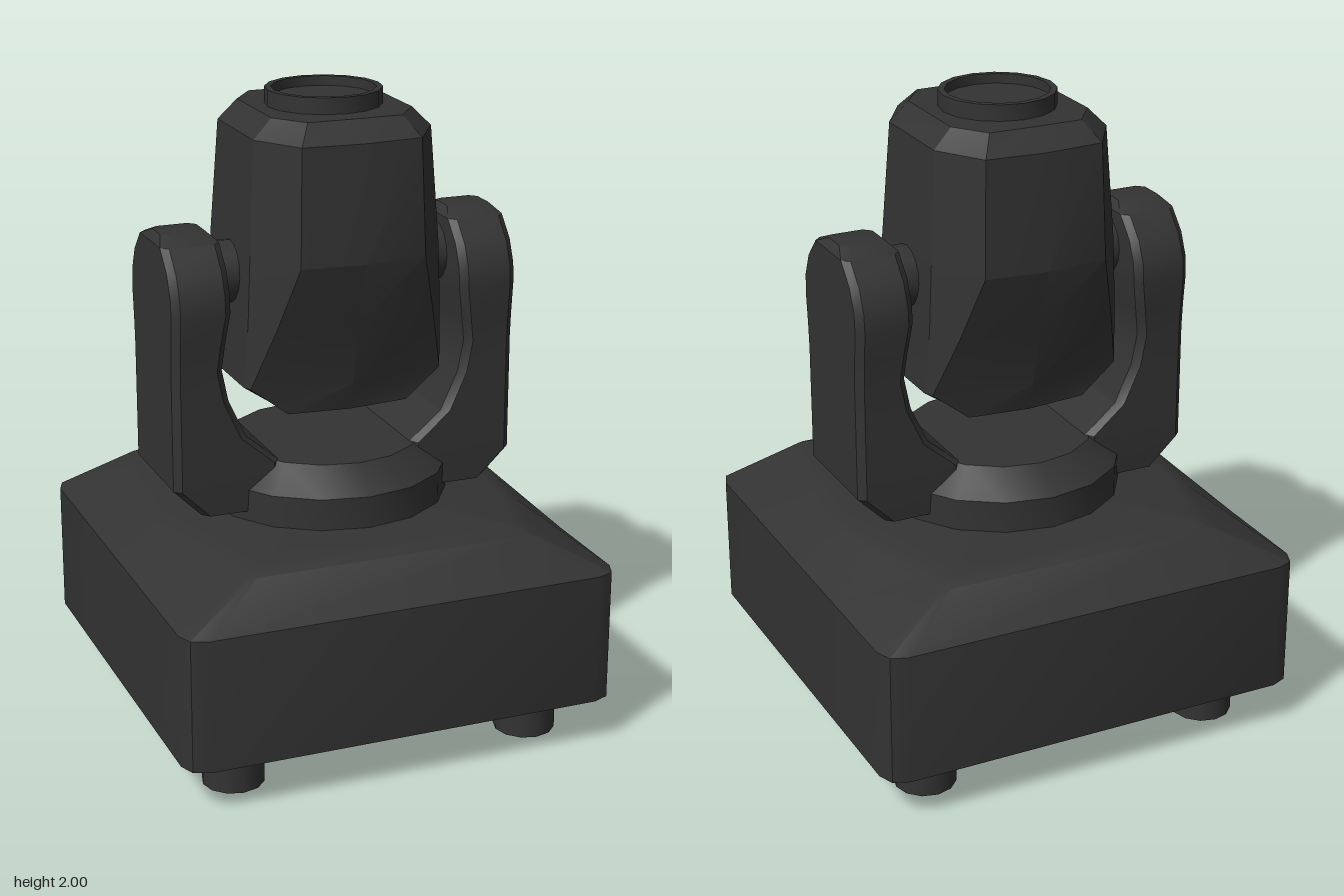
import * as THREE from 'three';
import { toCreasedNormals } from 'three/addons/utils/BufferGeometryUtils.js';

const material = new THREE.MeshStandardMaterial({ color: 0x333333 });

// Closed horizontal cross-section mirrored from one quadrant of [x, z] points (from +x towards +z)
function ring(y, q, cx = 0) {
  const r = [...q].reverse();
  return [
    ...q,
    ...r.filter(p => p[0] !== 0).map(([x, z]) => [-x, z]),
    ...q.filter(p => p[1] !== 0).map(([x, z]) => [-x, -z]),
    ...r.filter(p => p[0] !== 0 && p[1] !== 0).map(([x, z]) => [x, -z]),
  ].map(([x, z]) => [x + cx, y, z]);
}

// Skin a stack of rings (bottom to top) and cap both ends
function loft(rings, crease = 0.4) {
  const n = rings[0].length, last = rings.length - 1, v = [];
  const centre = r => [0, 1, 2].map(k => r.reduce((s, p) => s + p[k], 0) / n);
  const bottom = centre(rings[0]), top = centre(rings[last]);
  for (let j = 0; j < n; j++) {
    const k = (j + 1) % n;
    for (let i = 0; i < last; i++) {
      const a = rings[i][j], b = rings[i][k], c = rings[i + 1][k], d = rings[i + 1][j];
      v.push(a, d, b, b, d, c);
    }
    v.push(bottom, rings[0][j], rings[0][k], top, rings[last][k], rings[last][j]);
  }
  const g = new THREE.BufferGeometry();
  g.setAttribute('position', new THREE.Float32BufferAttribute(v.flat(), 3));
  return toCreasedNormals(g, crease);
}

function lathe(points, segments) {
  const g = new THREE.LatheGeometry(points.map(p => new THREE.Vector2(...p)), segments);
  return toCreasedNormals(g, 0.5);
}

export function createModel() {
  const model = new THREE.Group();
  model.name = 'movingHeadLight';
  const add = (name, geometry, x = 0, y = 0, z = 0) => {
    const m = new THREE.Mesh(geometry, material);
    m.name = name;
    m.position.set(x, y, z);
    model.add(m);
    return m;
  };

  // Base: box with clipped corners and a sloped lid whose sides bow outwards
  const wall = [[0.7, 0], [0.7, 0.3], [0.7, 0.63], [0.68, 0.68], [0.63, 0.7]];
  const lid = (side, x, z) => [[side, 0], [side - (side - x) * 0.3, z * 0.5],
    [x + 0.012, z - 0.02], [x + 0.008, z - 0.006], [x - 0.01, z]];
  add('base', loft([
    ring(0.15, wall), ring(0.57, wall),
    ring(0.69, lid(0.58, 0.45, 0.58)), ring(0.71, lid(0.53, 0.4, 0.53)),
  ]));

  // Feet
  for (const x of [-0.49, 0.49]) for (const z of [-0.49, 0.49])
    add('foot', new THREE.CylinderGeometry(0.097, 0.097, 0.16, 12), x, 0.08, z);

  // Turntable under the yoke
  add('turntable', lathe([[0, 0.7], [0.388, 0.7], [0.388, 0.81], [0.3, 0.89], [0, 0.89]], 16));

  // Yoke arms: rows of [y, half depth, inner x, outer x]
  const armRows = [
    [0.74, 0.195, 0.25, 0.47], [0.83, 0.2, 0.21, 0.56], [0.89, 0.2, 0.22, 0.56],
    [0.98, 0.2, 0.325, 0.56], [1.1, 0.2, 0.38, 0.56], [1.2, 0.2, 0.4, 0.56],
    [1.28, 0.205, 0.39, 0.56], [1.38, 0.215, 0.375, 0.56], [1.44, 0.21, 0.375, 0.56],
    [1.51, 0.18, 0.375, 0.56], [1.575, 0.12, 0.375, 0.56], [1.6, 0.06, 0.4, 0.54],
  ];
  const arm = loft(armRows.map(([y, w, xi, xo]) => {
    const h = (xo - xi) / 2, c = 0.022;
    return ring(y, [[h, w - c], [h - c, w]], (xi + xo) / 2);
  }));
  add('leftYokeArm', arm);
  add('rightYokeArm', arm).rotation.y = Math.PI;

  // Tilt pivots between arms and head
  for (const s of [-1, 1])
    add('tiltPivot', new THREE.CylinderGeometry(0.097, 0.097, 0.14, 16), s * 0.33, 1.455, 0)
      .rotation.z = Math.PI / 2;

  // Head: rows of [y, side x, side z, corner x, corner z, front z]
  const headRows = [
    [1.04, 0.2, 0.12, 0.195, 0.2, 0.22],
    [1.13, 0.325, 0.16, 0.312, 0.19, 0.245],
    [1.33, 0.315, 0.18, 0.255, 0.265, 0.294],
    [1.53, 0.307, 0.18, 0.2, 0.325, 0.345],
    [1.89, 0.285, 0.16, 0.19, 0.31, 0.325],
    [1.95, 0.225, 0.15, 0.15, 0.253, 0.255],
  ];
  add('head', loft(headRows.map(([y, a, s, b, e, f]) => ring(y, [[a, s], [b, e], [0, f]])), 0.3));

  // Lens collar with a shallow recessed lens
  add('lensCollar', lathe([[0.18, 1.94], [0.18, 2], [0.16, 2], [0.16, 1.97], [0, 1.97]], 16));

  return model;
}
